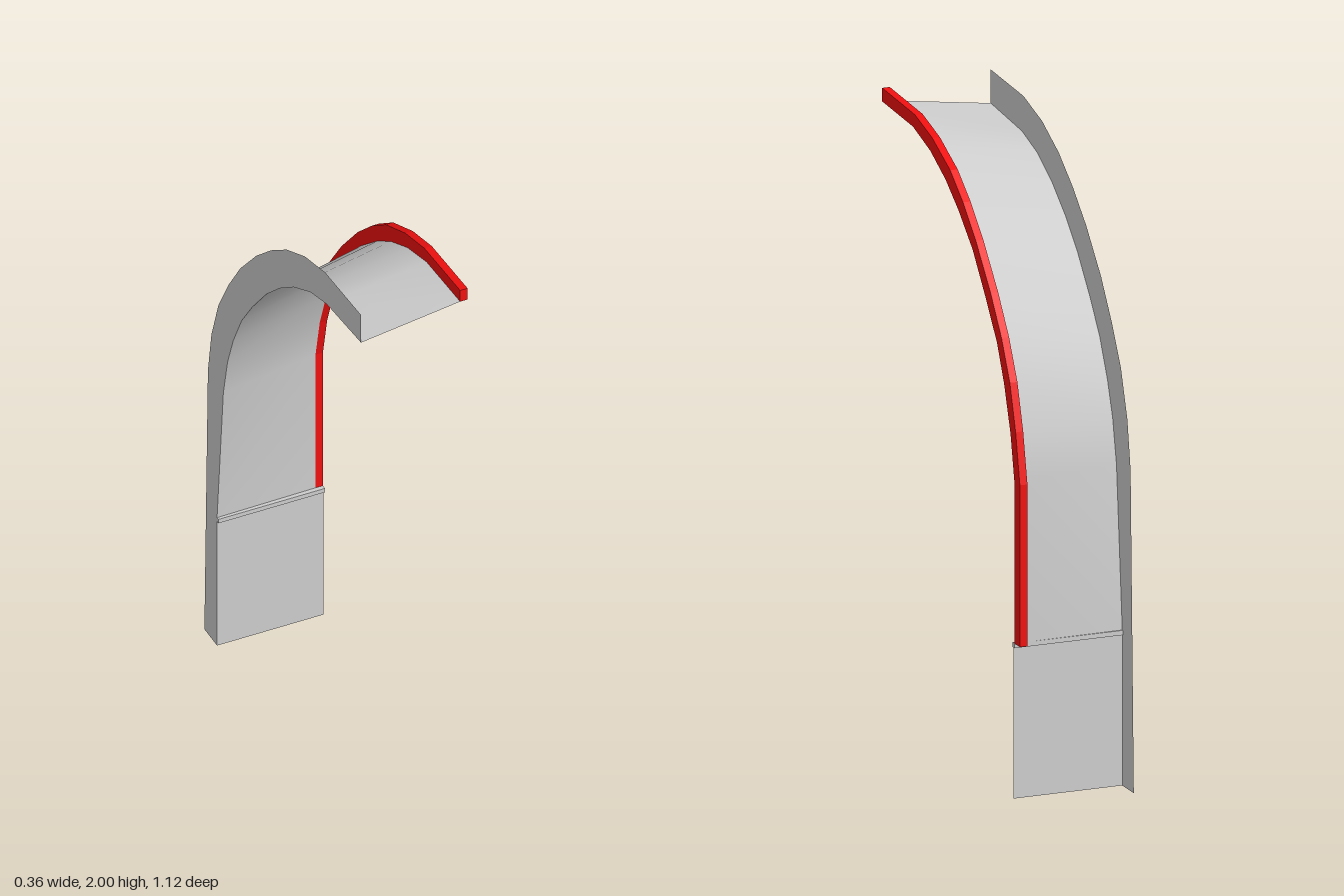
import * as THREE from 'three';

const LEFT = -0.18, RAIL = 0.155, RIGHT = 0.18;

// Side profiles as [z, y], running from the front tip down to the top of the base.
const finOuter = [[0.56, 2], [0.305, 1.985], [0.16, 1.945], [0.03, 1.88], [-0.08, 1.80], [-0.185, 1.705],
  [-0.30, 1.575], [-0.385, 1.45], [-0.455, 1.325], [-0.505, 1.175], [-0.53, 1.02], [-0.543, 0.495]];
const railOuter = [[0.56, 1.983], [0.305, 1.967], [0.17, 1.93], [0.03, 1.865], [-0.07, 1.79], [-0.17, 1.695],
  [-0.285, 1.56], [-0.37, 1.44], [-0.435, 1.315], [-0.48, 1.17], [-0.513, 1.01], [-0.513, 0.495]];
const railInner = [[0.56, 1.94], [0.32, 1.925], [0.185, 1.885], [0.065, 1.825], [-0.035, 1.755], [-0.145, 1.66],
  [-0.25, 1.53], [-0.335, 1.415], [-0.39, 1.30], [-0.44, 1.155], [-0.47, 1.01], [-0.47, 0.495]];
const sheetLeft = [[0.56, 1.893], [0.315, 1.87], [0.20, 1.835], [0.08, 1.77], [-0.02, 1.695], [-0.115, 1.605],
  [-0.215, 1.485], [-0.29, 1.38], [-0.35, 1.26], [-0.39, 1.15], [-0.42, 1.01], [-0.465, 0.495]];

// Surface stretched between two profiles, each lying at its own x
function ribbon(a, xa, b, xb) {
  const pos = [], idx = [];
  a.forEach(([z, y], i) => {
    pos.push(xa, y, z, xb, b[i][1], b[i][0]);
    if (i) {
      const k = 2 * i;
      idx.push(k - 2, k, k - 1, k - 1, k, k + 1);
    }
  });
  const g = new THREE.BufferGeometry();
  g.setAttribute('position', new THREE.Float32BufferAttribute(pos, 3));
  g.setIndex(idx);
  g.computeVertexNormals();
  return g;
}

export function createModel() {
  const group = new THREE.Group();
  const grey = new THREE.MeshStandardMaterial({ color: 0xcccccc, side: THREE.DoubleSide });
  const red = new THREE.MeshStandardMaterial({ color: 0xee1010 });
  const add = (name, geometry, material = grey) => {
    const mesh = new THREE.Mesh(geometry, material);
    mesh.name = name;
    group.add(mesh);
    return mesh;
  };

  // Twisting curved sheet between the fin and the rail
  add('curvedSheet', ribbon(sheetLeft, LEFT, railInner, RAIL));

  // Upright fin along the left edge, down to the ground
  add('sideFin', ribbon([...finOuter, [-0.555, 0]], LEFT, [...sheetLeft, [-0.465, 0]], LEFT));

  // Solid edge rail, extruded across x
  const outline = [...railOuter, ...[...railInner].reverse()].map(([z, y]) => new THREE.Vector2(-z, y));
  const rail = new THREE.ExtrudeGeometry(new THREE.Shape(outline), { depth: RIGHT - RAIL, bevelEnabled: false });
  rail.rotateY(Math.PI / 2).translate(RAIL, 0, 0);
  add('edgeRail', rail, red);

  // Flat lower panel with a small lip along its top
  add('basePanel', new THREE.PlaneGeometry(RIGHT - LEFT, 0.485)).position.set(0, 0.2425, -0.465);
  add('panelLip', new THREE.BoxGeometry(RIGHT - LEFT, 0.015, 0.015)).position.set(0, 0.4875, -0.4625);

  return group;
}
